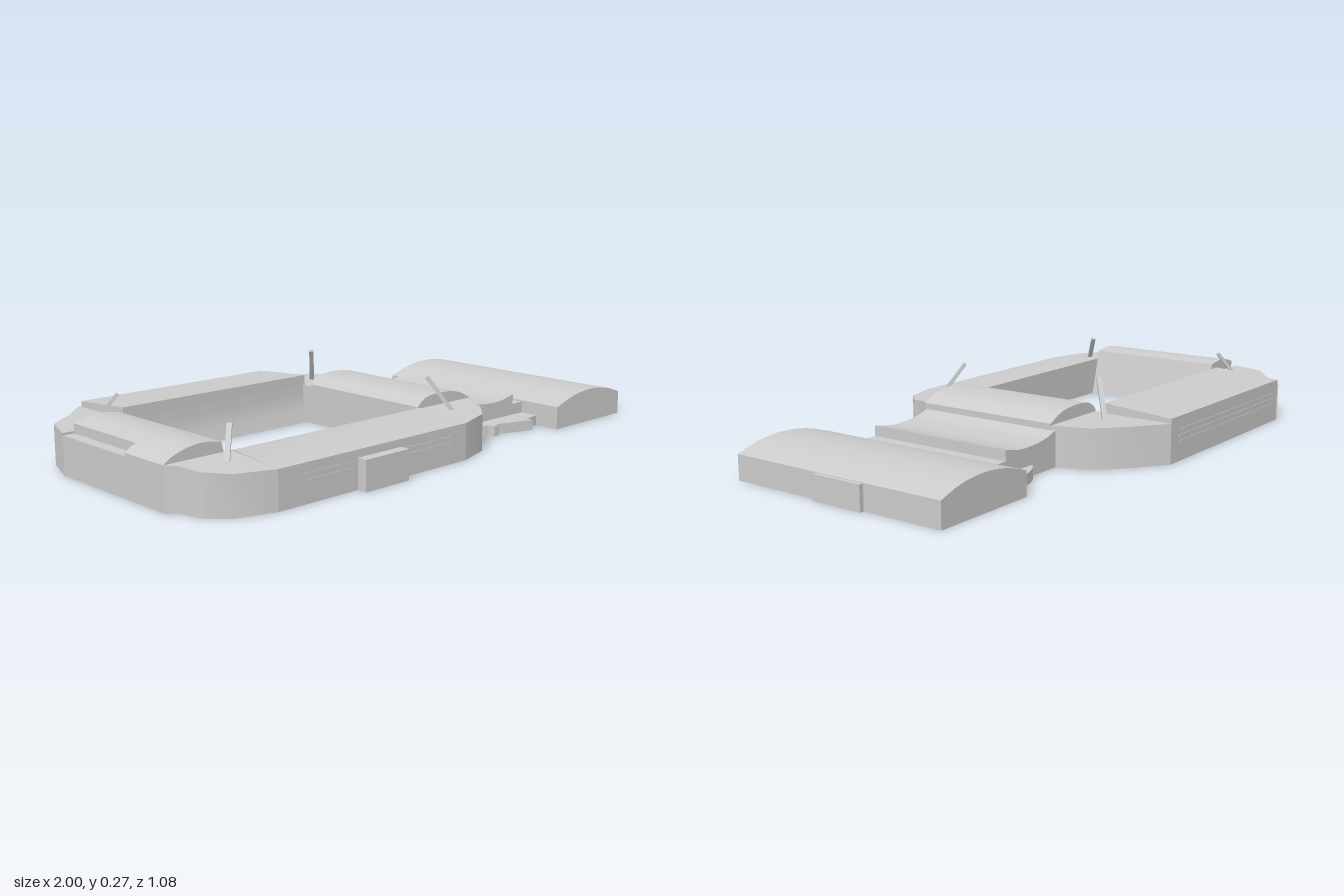
import * as THREE from 'three';
import { toCreasedNormals } from 'three/addons/utils/BufferGeometryUtils.js';

const material = new THREE.MeshStandardMaterial({ color: 0xcccccc });

function add(group, name, geometry) {
  const mesh = new THREE.Mesh(toCreasedNormals(geometry, 0.5), material);
  mesh.name = name;
  group.add(mesh);
  return mesh;
}

function extrude(points, depth) {
  const shape = new THREE.Shape(points.map(([a, b]) => new THREE.Vector2(a, b)));
  return new THREE.ExtrudeGeometry(shape, { depth, bevelEnabled: false });
}

// Section in (x, y), running along z
const alongZ = (section, z0, z1) => extrude(section, z1 - z0).translate(0, 0, z0);

// Section in (z, y), running along x
const alongX = (section, x0, x1) =>
  extrude(section.map(([z, y]) => [-z, y]), x1 - x0).rotateY(Math.PI / 2).translate(x0, 0, 0);

// Plan in (x, z), rising from the ground
const upright = (plan, height) =>
  extrude(plan.map(([x, z]) => [x, -z]), height).rotateX(-Math.PI / 2);

function box(x0, x1, y0, y1, z0, z1) {
  return new THREE.BoxGeometry(x1 - x0, y1 - y0, z1 - z0)
    .translate((x0 + x1) / 2, (y0 + y1) / 2, (z0 + z1) / 2);
}

// Smooth roof line through a few points
function curve(points, n = 16) {
  const spline = new THREE.SplineCurve(points.map(([a, b]) => new THREE.Vector2(a, b)));
  return spline.getPoints(n).map((p) => [p.x, p.y]);
}

export function createModel() {
  const model = new THREE.Group();
  model.name = 'stadium';

  // Long stands
  add(model, 'frontStand', alongX(
    [[0.5, 0], [0.5, 0.125], [0.3, 0.143], [0.29, 0.14], [0.29, 0]], -0.76, 0.04));
  add(model, 'backStand', alongX(
    [[-0.54, 0], [-0.54, 0.153], [-0.285, 0.172], [-0.285, 0.145],
      ...curve([[-0.285, 0.14], [-0.28, 0.07], [-0.26, 0]], 8)], -0.75, 0.04));

  // End stands with arched roofs
  add(model, 'leftStand', alongZ(
    [[0.03, 0], ...curve([[0.03, 0.145], [0.07, 0.173], [0.15, 0.18], [0.23, 0.17], [0.29, 0.143]]),
      [0.29, 0]], -0.24, 0.295));
  const rightRoof = [[-0.96, 0.162], [-0.9, 0.178], [-0.85, 0.18], [-0.795, 0.172]];
  add(model, 'rightStand', alongZ(
    [[-1, 0], ...curve([[-1, 0.14], ...rightRoof]), [-0.75, 0]], 0.1, 0.29));
  add(model, 'rightStandSetBack', alongZ(
    [[-1, 0], [-1, 0.13], [-0.96, 0.13], ...curve(rightRoof), [-0.75, 0]], -0.24, 0.1));

  // Faceted corners, the front pair sloping gently outward
  const corners = {
    frontLeftCorner: [[0.04, 0.5], [0.17, 0.46], [0.24, 0.39], [0.25, 0.34], [0.29, 0.29], [0.03, 0.29]],
    frontRightCorner: [[-0.76, 0.5], [-0.89, 0.46], [-0.95, 0.4], [-0.97, 0.32], [-1, 0.29], [-0.75, 0.29]],
    backLeftCorner: [[0.04, -0.54], [0.16, -0.45], [0.25, -0.36], [0.29, -0.24], [0.03, -0.24], [0.03, -0.26]],
    backRightCorner: [[-0.76, -0.54], [-0.85, -0.45], [-0.955, -0.37], [-1, -0.24], [-0.75, -0.24], [-0.75, -0.26]],
  };
  for (const [name, plan] of Object.entries(corners)) {
    const geometry = upright(plan, 0.137);
    const p = geometry.attributes.position;
    for (let i = 0; i < p.count; i++) {
      if (p.getY(i) > 0.1 && p.getZ(i) > 0) p.setY(i, 0.125 + (0.5 - p.getZ(i)) * 0.07);
    }
    geometry.computeVertexNormals();
    add(model, name, geometry);
  }

  // Leaning floodlight masts
  const masts = [
    [[0.125, 0.13, 0.365], [0.065, 0.245, 0.3]],
    [[-0.83, 0.13, 0.36], [-0.775, 0.225, 0.305]],
    [[0.125, 0.13, -0.34], [0.065, 0.263, -0.275]],
    [[-0.83, 0.13, -0.325], [-0.775, 0.222, -0.275]],
  ];
  for (const [foot, head] of masts) {
    const a = new THREE.Vector3(...foot);
    const b = new THREE.Vector3(...head);
    const mast = add(model, 'floodlightMast', new THREE.BoxGeometry(0.016, 0.012, a.distanceTo(b)));
    mast.position.copy(a).lerp(b, 0.5);
    mast.lookAt(b);
  }

  // Entrance and facade bands
  add(model, 'frontEntrance', box(-0.45, -0.265, 0, 0.1, 0.49, 0.535));
  for (const y of [0.07, 0.09]) {
    add(model, 'frontBand', box(-0.67, -0.47, y, y + 0.004, 0.495, 0.502));
    add(model, 'frontBand', box(-0.25, -0.03, y, y + 0.004, 0.495, 0.502));
  }
  for (const y of [0.065, 0.085, 0.105]) {
    add(model, 'backBand', box(-0.71, -0.01, y, y + 0.005, -0.542, -0.535));
  }

  // Link building with a sagging roof
  add(model, 'linkBuilding', alongZ(
    [[0.28, 0], ...curve([[0.28, 0.125], [0.34, 0.106], [0.42, 0.098], [0.48, 0.1], [0.545, 0.113]]),
      [0.545, 0]], -0.255, 0.29));
  add(model, 'linkPassage', box(0.54, 0.61, 0, 0.077, -0.255, 0.29));
  add(model, 'frontTerrace', upright(
    [[0.28, 0.28], [0.28, 0.31], [0.31, 0.325], [0.35, 0.34], [0.355, 0.362], [0.38, 0.362], [0.38, 0.345],
      [0.53, 0.395], [0.53, 0.37], [0.61, 0.355], [0.61, 0.28]], 0.037));
  add(model, 'backTerrace', upright(
    [[0.41, -0.24], ...curve([[0.41, -0.255], [0.45, -0.285], [0.52, -0.307], [0.61, -0.308]], 10),
      [0.61, -0.24]], 0.037));

  // Hall with an arched roof, and its porch
  add(model, 'hall', alongZ(
    [[0.6, 0], ...curve([[0.6, 0.082], [0.7, 0.111], [0.8, 0.121], [0.9, 0.111], [0.985, 0.085]]),
      [0.985, 0]], -0.375, 0.45));
  add(model, 'hallPorch', box(0.98, 1, 0, 0.083, -0.085, 0.105));

  return model;
}
